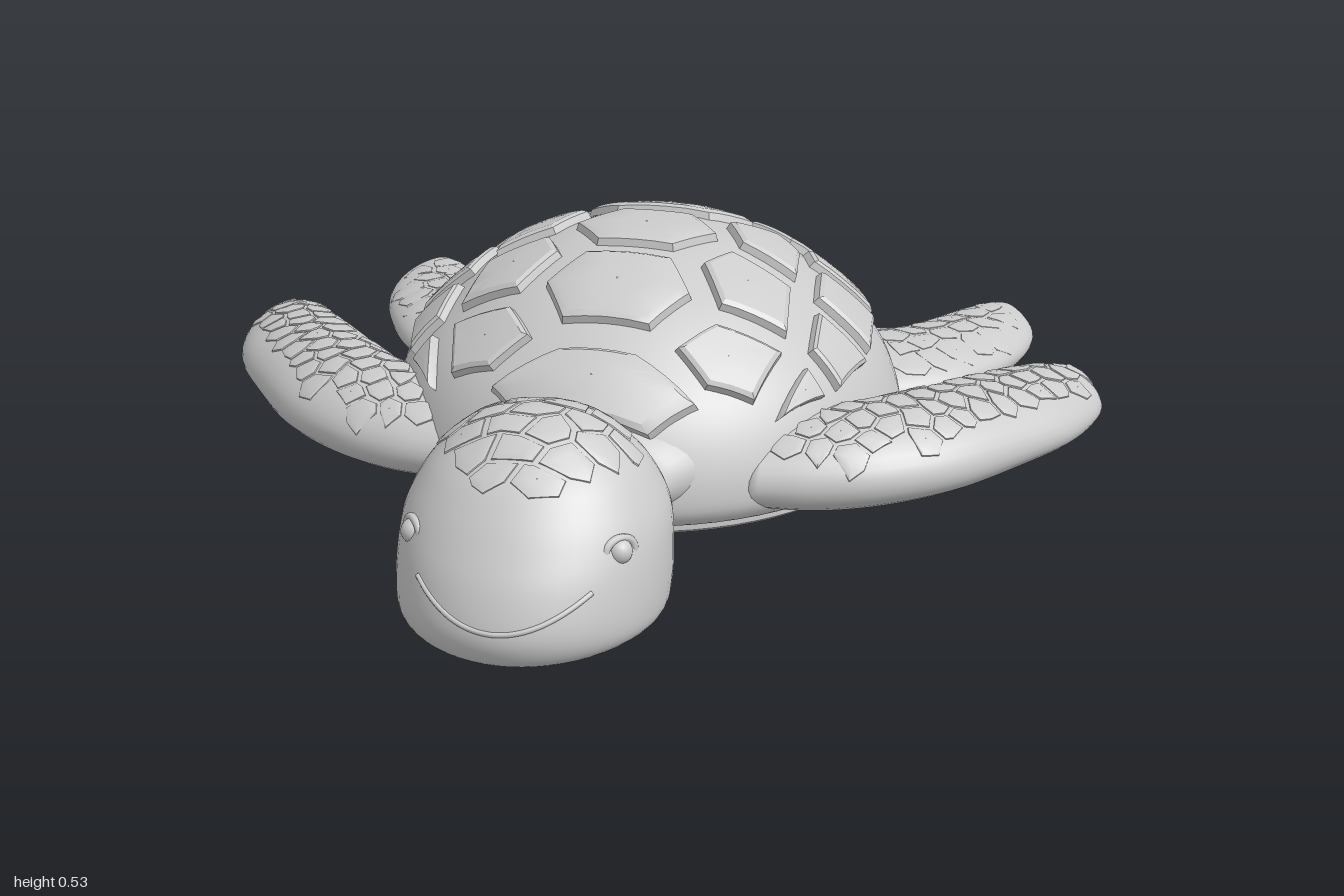
import * as THREE from 'three';
import { mergeGeometries, toCreasedNormals } from 'three/addons/utils/BufferGeometryUtils.js';

const V = (x, y, z) => new THREE.Vector3(x, y, z);
const material = new THREE.MeshStandardMaterial({ color: 0xcccccc, roughness: 0.8 });
const SHELL_Z = -0.14;

function part(name, geometry) {
  const mesh = new THREE.Mesh(geometry, material);
  mesh.name = name;
  return mesh;
}

function indexed(positions, index) {
  const g = new THREE.BufferGeometry();
  g.setAttribute('position', new THREE.Float32BufferAttribute(positions, 3));
  g.setIndex(index);
  g.computeVertexNormals();
  return g;
}

// Smooth skin over elliptical sections [centre, half axis a, half axis b]; a x b points along the path
function loft(sections, steps = 40, sides = 40) {
  const [c, a, b] = [0, 1, 2].map(k =>
    new THREE.CatmullRomCurve3(sections.map(s => s[k]), false, 'catmullrom', 0.5));
  const pos = [], index = [];
  for (let i = 0; i <= steps; i++) {
    const t = i / steps, C = c.getPoint(t), A = a.getPoint(t), B = b.getPoint(t);
    for (let j = 0; j < sides; j++) {
      const th = j / sides * Math.PI * 2;
      pos.push(...C.clone().addScaledVector(A, Math.cos(th)).addScaledVector(B, Math.sin(th)).toArray());
      if (i === steps) continue;
      const p = i * sides + j, q = i * sides + (j + 1) % sides;
      index.push(p, q, p + sides, q, q + sides, p + sides);
    }
  }
  // end caps
  const first = pos.length / 3, last = first + 1, top = steps * sides;
  pos.push(...sections[0][0].toArray(), ...sections.at(-1)[0].toArray());
  for (let j = 0; j < sides; j++) {
    const k = (j + 1) % sides;
    index.push(first, k, j, last, top + j, top + k);
  }
  return indexed(pos, index);
}

// Mirrored copy across x = 0 with the winding corrected
function mirror(geometry) {
  const g = geometry.index ? geometry.toNonIndexed() : geometry.clone();
  g.scale(-1, 1, 1);
  for (const attr of Object.values(g.attributes)) {
    const n = attr.itemSize;
    for (let i = 0; i < attr.array.length; i += 3 * n)
      for (let k = 0; k < n; k++) {
        const t = attr.array[i + n + k];
        attr.array[i + n + k] = attr.array[i + 2 * n + k];
        attr.array[i + 2 * n + k] = t;
      }
  }
  return g;
}

function oval(points, segments = 72) {
  return new THREE.LatheGeometry(points.map(p => new THREE.Vector2(...p)), segments)
    .scale(1, 1, 1.055).translate(0, 0, SHELL_Z);
}

const ray = new THREE.Raycaster();
function hit(mesh, origin, dir) {
  ray.set(origin, dir);
  return ray.intersectObject(mesh)[0];
}

// Raised bevelled plates: plan polygons [x, z] laid on a surface from above (up = 1) or below (up = -1)
function plates(mesh, polygons, height, up = 1, split = 1) {
  const rings = [[1, -0.006], [0.93, height * 0.75], [0.82, height], [0.4, height], [0.01, height]];
  const out = [];
  for (const poly of polygons) {
    const n = poly.length * split, pos = [], index = [];
    const cx = poly.reduce((s, p) => s + p[0], 0) / poly.length;
    const cz = poly.reduce((s, p) => s + p[1], 0) / poly.length;
    for (const [scale, lift] of rings) {
      for (let i = 0; i < n; i++) {
        const p = poly[Math.floor(i / split)], q = poly[(Math.floor(i / split) + 1) % poly.length];
        const f = (i % split) / split;
        const x = cx + (p[0] + (q[0] - p[0]) * f - cx) * scale + 1e-4;
        const z = cz + (p[1] + (q[1] - p[1]) * f - cz) * scale + 1e-4;
        const h = hit(mesh, V(x, up * 2, z), V(0, -up, 0));
        if (h) pos.push(...h.point.addScaledVector(h.normal, lift).toArray());
      }
    }
    if (pos.length < n * rings.length * 3) continue;
    for (let r = 0; r < rings.length - 1; r++)
      for (let i = 0; i < n; i++) {
        const a = r * n + i, b = r * n + (i + 1) % n;
        if (up > 0) index.push(b, a, a + n, b, a + n, b + n);
        else index.push(a, b, a + n, b, b + n, a + n);
      }
    out.push(indexed(pos, index));
  }
  return toCreasedNormals(mergeGeometries(out), 0.45);
}

// Irregular honeycomb kept inside an ellipse
function honeycomb(cx, cz, rx, rz, w, h, skip = () => false) {
  const noise = (x, z) => {
    const s = Math.sin(Math.round(x * 1000) * 12.99 + Math.round(z * 1000) * 78.23) * 4375.85;
    return s - Math.floor(s) - 0.5;
  };
  const corners = [[0.5, -0.25], [0.5, 0.25], [0, 0.5], [-0.5, 0.25], [-0.5, -0.25], [0, -0.5]];
  const out = [], rows = Math.ceil(rz / h / 0.75), cols = Math.ceil(rx / w) + 1;
  for (let j = -rows; j <= rows; j++)
    for (let i = -cols; i <= cols; i++) {
      const x = (i + (j & 1) / 2) * w, z = j * h * 0.75;
      if (Math.hypot(x / rx, z / rz) > 0.97 || skip(x + cx, z + cz)) continue;
      out.push(corners.map(([u, v]) => {
        const px = x + u * w, pz = z + v * h;
        const qx = px + noise(px, pz) * w * 0.35, qz = pz + noise(pz + 5, px) * h * 0.35;
        const k = 1 / Math.max(1, Math.hypot(qx / rx, qz / rz));
        return [cx + (x + (qx - x) * 0.92) * k, cz + (z + (qz - z) * 0.92) * k];
      }));
    }
  return out;
}

// Flipper from rows of [leading x, z, trailing x, z, height, half thickness]
function flipper(rows, tilt) {
  return loft(rows.map(([lx, lz, tx, tz, y, t]) => [
    V((lx + tx) / 2, y, (lz + tz) / 2), V((tx - lx) / 2, tilt, (tz - lz) / 2), V(0, t, 0)]), 44, 32);
}

export function createModel() {
  const model = new THREE.Group();
  model.name = 'seaTurtle';

  // Domed body
  const dome = new THREE.SplineCurve([[0.5, 0.085], [0.518, 0.12], [0.51, 0.19], [0.475, 0.275], [0.415, 0.35],
    [0.3, 0.44], [0.15, 0.502], [0, 0.515]].map(p => new THREE.Vector2(...p))).getPoints(30).map(p => [Math.max(0, p.x), p.y]);
  const body = part('shellBody', oval([[0, 0.08], [0.46, 0.08], ...dome]));

  // Upper shell plates: halves of the middle row, then the side plates
  const middle = [
    [[0.08, -0.56], [0.16, -0.53], [0.09, -0.43]], [[0.16, -0.39], [0.18, -0.34], [0.1, -0.265]],
    [[0.08, -0.225], [0.15, -0.13], [0.08, -0.03]], [[0.09, 0.01], [0.15, 0.1], [0.09, 0.2]],
    [[0.08, 0.25], [0.21, 0.29], [0.13, 0.355]]];
  const side = [
    [[0.2, -0.52], [0.33, -0.44], [0.25, -0.33], [0.14, -0.42]], [[0.36, -0.41], [0.43, -0.29], [0.31, -0.25], [0.28, -0.33]],
    [[0.23, -0.3], [0.29, -0.24], [0.31, -0.11], [0.19, -0.13], [0.14, -0.23]],
    [[0.33, -0.22], [0.44, -0.25], [0.46, -0.1], [0.35, -0.09]],
    [[0.18, -0.08], [0.31, -0.06], [0.33, 0.07], [0.2, 0.1], [0.14, 0]],
    [[0.36, -0.05], [0.46, -0.06], [0.43, 0.07], [0.37, 0.06]],
    [[0.2, 0.14], [0.33, 0.11], [0.3, 0.23], [0.21, 0.26], [0.14, 0.22]], [[0.37, 0.1], [0.41, 0.11], [0.34, 0.22]]];
  const flip = poly => poly.map(([x, z]) => [-x, z]).reverse();
  const scutes = [...middle.map(h => [...h, ...flip(h)]), ...side, ...side.map(flip)];
  model.add(body, part('shellPlates', plates(body, scutes, 0.02, 1, 4)));

  // Belly disc with a raised rim and plates
  const belly = part('belly', toCreasedNormals(
    oval([[0, 0.076], [0.435, 0.076], [0.44, 0.062], [0.48, 0.062], [0.486, 0.068], [0.486, 0.09]]), 0.5));
  model.add(belly, part('bellyPlates', plates(belly, honeycomb(0, SHELL_Z, 0.425, 0.45, 0.27, 0.21), 0.014, -1, 2)));

  // Head, from the crown down: [height, back z, front z, half width]
  const head = part('head', loft([
    [0.432, 0.67, 0.69, 0.008], [0.422, 0.61, 0.74, 0.075], [0.4, 0.56, 0.79, 0.128], [0.35, 0.5, 0.86, 0.187],
    [0.3, 0.462, 0.905, 0.222], [0.25, 0.442, 0.94, 0.243], [0.19, 0.435, 0.975, 0.25], [0.12, 0.435, 0.998, 0.25],
    [0.075, 0.455, 0.99, 0.24], [0.05, 0.5, 0.965, 0.2], [0.03, 0.56, 0.9, 0.135], [0.012, 0.65, 0.77, 0.045], [0.008, 0.7, 0.72, 0.008]
  ].map(([y, b, f, w]) => [V(0, y, (b + f) / 2), V(w, 0, 0), V(0, 0, (f - b) / 2)]), 60, 56));
  model.add(head,
    part('headScales', plates(head, honeycomb(0, 0.68, 0.195, 0.2, 0.085, 0.075), 0.004)),
    part('throatScales', plates(head, honeycomb(0, 0.71, 0.2, 0.23, 0.085, 0.05), 0.004, -1)));

  // Eyes with lids, and the smiling mouth line
  for (const s of [1, -1]) {
    const eye = new THREE.Group();
    eye.name = s > 0 ? 'leftEye' : 'rightEye';
    const lid = part('eyelid', new THREE.TorusGeometry(0.029, 0.008, 10, 28).scale(1.1, 0.85, 1));
    eye.add(part('eyeball', new THREE.SphereGeometry(0.024, 20, 14)), lid);
    eye.position.set(s * 0.19, 0.238, 0.838);
    eye.rotation.y = s * 0.9;
    model.add(eye);
  }
  const smile = [];
  for (let i = -8; i <= 8; i++) {
    const x = i * 0.02 + 1e-4, h = hit(head, V(x, 0.125 + 2.4 * x * x, 2), V(0, 0, -1));
    if (h) smile.push(h.point);
  }
  model.add(part('mouth', new THREE.TubeGeometry(new THREE.CatmullRomCurve3(smile), 40, 0.005, 8)));

  // Neck and tail: [z, height, half width, half height]
  const along = rows => loft(rows.map(([z, y, w, h]) => [V(0, y, z), V(w, 0, 0), V(0, h, 0)]));
  model.add(
    part('neck', along([[0.22, 0.2, 0.3, 0.12], [0.34, 0.185, 0.22, 0.1], [0.4, 0.178, 0.175, 0.086],
      [0.46, 0.178, 0.165, 0.084], [0.52, 0.19, 0.19, 0.1]])),
    part('tail', along([[-1, 0.128, 0.004, 0.005], [-0.985, 0.14, 0.022, 0.018], [-0.93, 0.158, 0.036, 0.036],
      [-0.84, 0.178, 0.053, 0.056], [-0.74, 0.185, 0.082, 0.065], [-0.68, 0.185, 0.11, 0.075], [-0.56, 0.19, 0.2, 0.09]])));

  // Flippers
  const front = flipper([
    [0.3, 0.3, 0.32, 0.02, 0.17, 0.08], [0.43, 0.28, 0.46, 0.0, 0.172, 0.085], [0.56, 0.235, 0.53, -0.06, 0.177, 0.085],
    [0.69, 0.14, 0.6, -0.145, 0.18, 0.08], [0.8, 0, 0.68, -0.235, 0.183, 0.07], [0.88, -0.13, 0.74, -0.3, 0.183, 0.058],
    [0.915, -0.265, 0.79, -0.35, 0.183, 0.04], [0.895, -0.34, 0.83, -0.368, 0.183, 0.022], [0.868, -0.367, 0.86, -0.37, 0.183, 0.004]], 0.022);
  const rear = flipper([
    [0.4, -0.24, 0.24, -0.48, 0.15, 0.06], [0.5, -0.29, 0.35, -0.55, 0.15, 0.06], [0.6, -0.38, 0.435, -0.59, 0.15, 0.057],
    [0.67, -0.5, 0.5, -0.67, 0.152, 0.052], [0.71, -0.61, 0.55, -0.74, 0.156, 0.045], [0.717, -0.71, 0.6, -0.785, 0.162, 0.033],
    [0.69, -0.775, 0.635, -0.799, 0.165, 0.02], [0.66, -0.8, 0.652, -0.802, 0.166, 0.004]], 0.014);
  const underShell = (x, z) => Math.hypot(x / 0.5, (z - SHELL_Z) / 0.53) < 1;
  const scales = plates(part('base', front), honeycomb(0.65, 0, 0.4, 0.45, 0.062, 0.062, underShell), 0.004);
  const rearScales = plates(part('base', rear), honeycomb(0.55, -0.52, 0.3, 0.35, 0.07, 0.07, underShell), 0.002);
  const limbs = { FrontFlipper: front, FrontFlipperScales: scales, RearFlipper: rear, RearFlipperScales: rearScales };
  for (const [name, geometry] of Object.entries(limbs))
    model.add(part('left' + name, geometry), part('right' + name, mirror(geometry)));

  return model;
}
